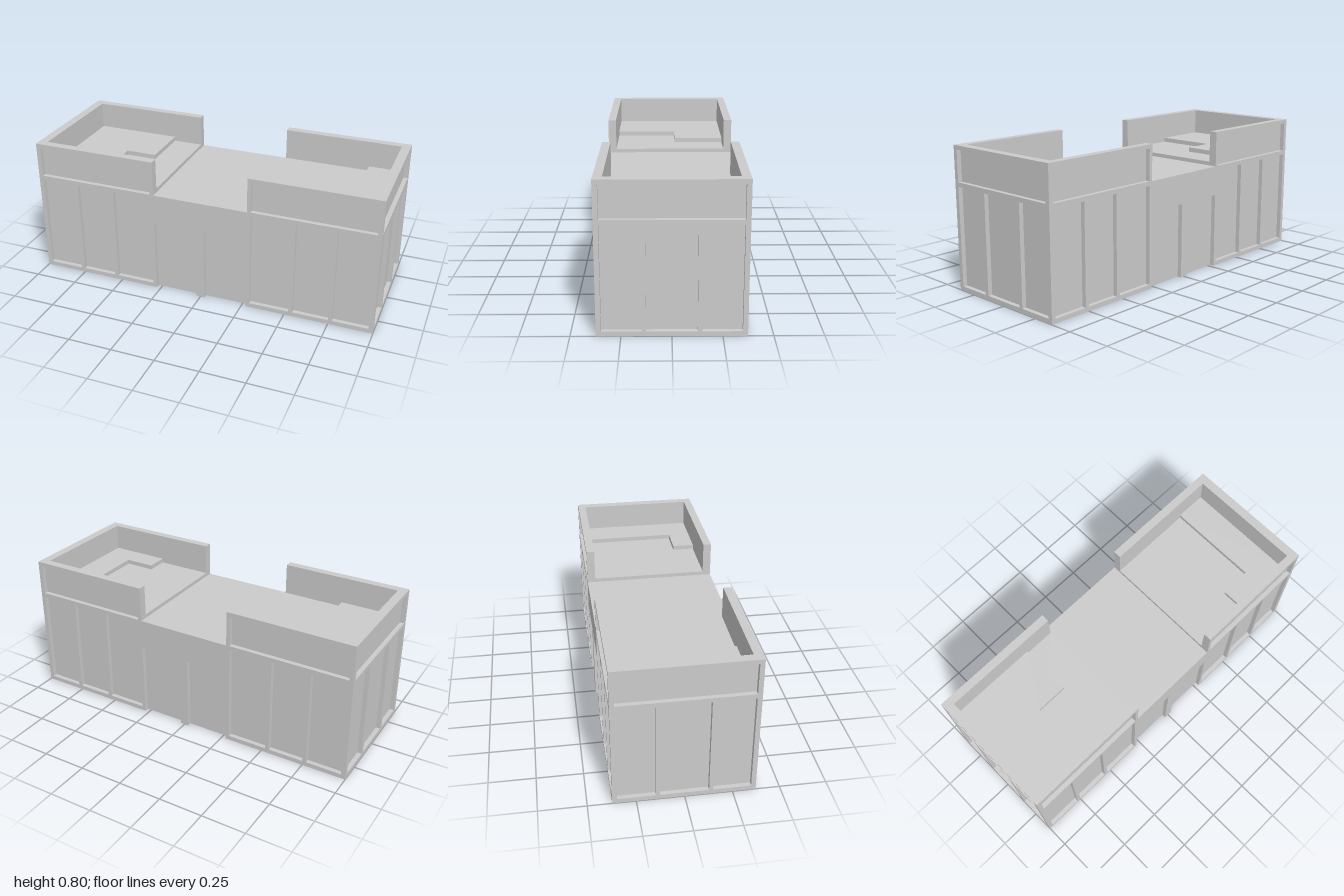
import * as THREE from 'three';

const W = 1, D = 0.373, ROOF = 0.6, TOP = 0.8, GAP = 0.275; // half width, half depth, heights, half gap
const REC = 0.025, WALL = 0.046; // panel recess and parapet thickness

export function createModel() {
  const group = new THREE.Group();
  const material = new THREE.MeshStandardMaterial({ color: 0xcccccc });

  const add = (name, geometry) => {
    const mesh = new THREE.Mesh(geometry, material);
    mesh.name = name;
    group.add(mesh);
    return mesh;
  };
  // Box given by its lower and upper bounds
  const box = (name, x0, x1, y0, y1, z0, z1) =>
    add(name, new THREE.BoxGeometry(x1 - x0, y1 - y0, z1 - z0)
      .translate((x0 + x1) / 2, (y0 + y1) / 2, (z0 + z1) / 2));
  const polygon = (pts) => new THREE.Shape(pts.map(([x, y]) => new THREE.Vector2(x, y)));
  const rect = (x0, x1, y0, y1) => polygon([[x0, y0], [x1, y0], [x1, y1], [x0, y1]]);
  const extrude = (shape, depth) => new THREE.ExtrudeGeometry(shape, { depth, bevelEnabled: false });

  // Solid core whose faces form the recessed panels
  box('core', -W + REC, W - REC, 0, ROOF, -D + REC, D - REC);

  // Long facades: U-shaped outline, two door notches, window and parapet panels
  const doorH = 0.43, post = 0.025;
  const facade = polygon([
    [-W, 0], [-GAP, 0], [-GAP, doorH], [-post, doorH], [-post, 0],
    [post, 0], [post, doorH], [GAP, doorH], [GAP, 0], [W, 0],
    [W, TOP], [GAP, TOP], [GAP, ROOF], [-GAP, ROOF], [-GAP, TOP], [-W, TOP],
  ]);
  for (const s of [-1, 1]) {
    const hole = (a, b, y0, y1) =>
      facade.holes.push(rect(Math.min(s * a, s * b), Math.max(s * a, s * b), y0, y1));
    for (const [a, b] of [[0.295, 0.525], [0.547, 0.75], [0.772, 0.975]]) hole(a, b, 0.025, 0.577);
    hole(0.295, 0.975, 0.602, 0.777);
  }
  for (const [name, turn] of [['frontFacade', 0], ['backFacade', Math.PI]]) {
    add(name, extrude(facade, REC).translate(0, 0, D - REC)).rotation.y = turn;
  }

  // End facades: three tall panels under one wide panel
  const end = rect(-D, D, 0, TOP);
  for (const [a, b] of [[-0.35, -0.15], [-0.127, 0.127], [0.15, 0.35]]) end.holes.push(rect(a, b, 0.025, 0.577));
  end.holes.push(rect(-0.35, 0.35, 0.602, 0.777));
  for (const [name, s] of [['leftFacade', 1], ['rightFacade', -1]]) {
    add(name, extrude(end, REC).translate(0, 0, W - REC)).rotation.y = s * Math.PI / 2;
  }

  // Parapet backing walls and roof floor on both towers
  for (const s of [-1, 1]) {
    const side = s > 0 ? 'left' : 'right';
    const span = (a, b) => (s > 0 ? [a, b] : [-b, -a]);
    for (const z of [-1, 1]) {
      const zs = z > 0 ? [D - WALL, D - REC] : [-D + REC, -D + WALL];
      box(side + (z > 0 ? 'FrontParapet' : 'BackParapet'), ...span(GAP, W - REC), ROOF, TOP, ...zs);
    }
    box(side + 'EndParapet', ...span(0.95, W - REC), ROOF, TOP, -D + WALL, D - WALL);
    box(side + 'RoofFloor', ...span(GAP, 0.95), ROOF, 0.622, -D + WALL, D - WALL);
  }

  // Raised L-shaped roof platforms, outlined as [x, z]
  const e = D - WALL;
  const platforms = {
    rightPlatform: [[-0.95, -e], [-0.45, -e], [-0.45, -0.03], [-0.63, -0.03], [-0.63, e], [-0.95, e]],
    leftPlatform: [[0.95, -e], [0.775, -e], [0.775, 0.2], [0.6, 0.2], [0.6, e], [0.95, e]],
  };
  for (const [name, pts] of Object.entries(platforms)) {
    const shape = polygon(pts.map(([x, z]) => [x, -z]));
    add(name, extrude(shape, 0.026).rotateX(-Math.PI / 2).translate(0, 0.622, 0));
  }
  return group;
}
